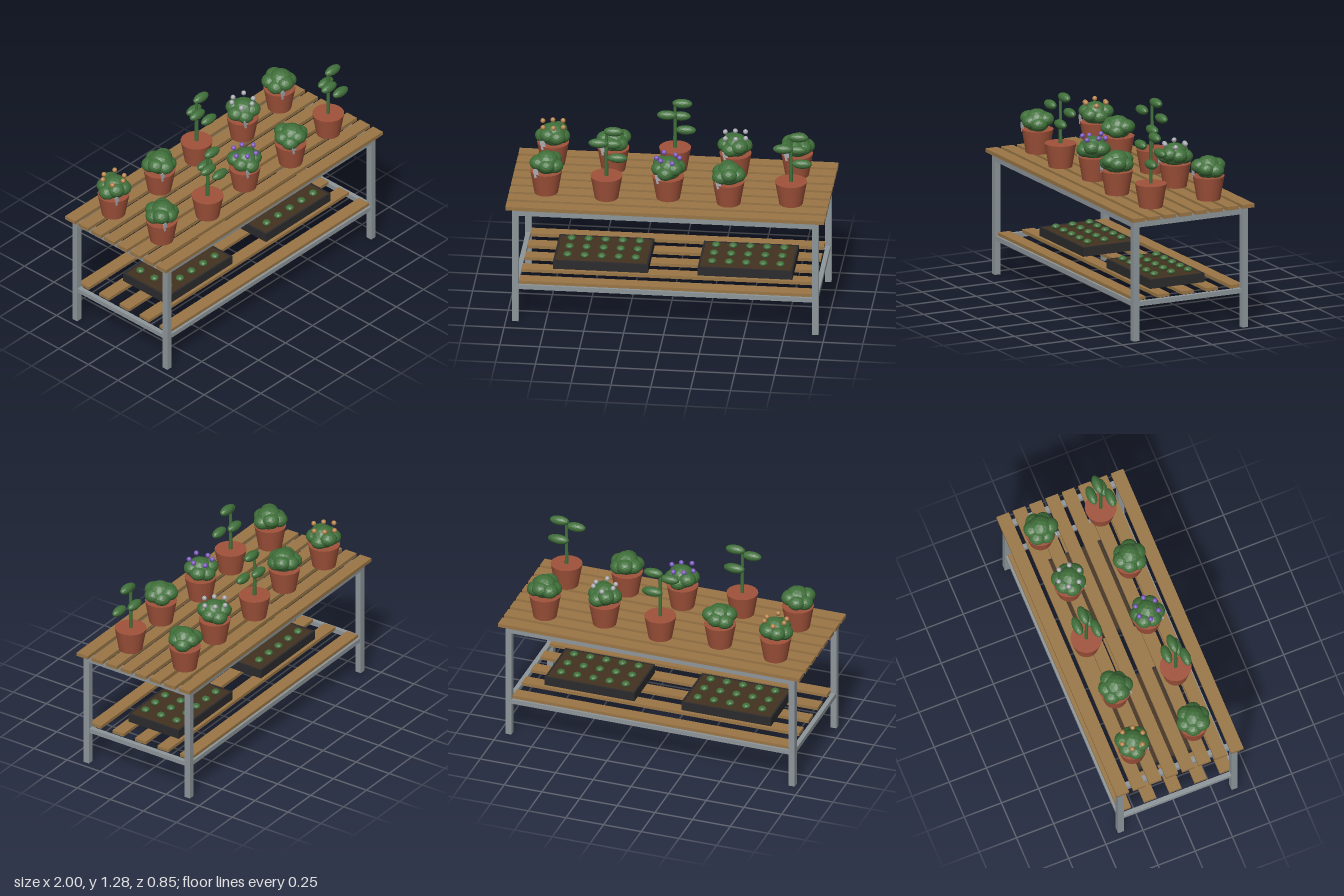
import * as THREE from 'three';

const mat = (name, color, flatShading = false) => {
  const m = new THREE.MeshStandardMaterial({ color, flatShading });
  m.name = name;
  return m;
};

export function createModel() {
  const wood = mat('wood', 0x9a7646);
  const steel = mat('galvanised steel', 0x8e969a);
  const terracotta = mat('terracotta', 0xa0523a);
  const green = mat('leaf green', 0x40703a, true);
  const black = mat('black plastic', 0x2b2b2d);
  const soil = mat('soil', 0x43321f);
  const purple = mat('purple petals', 0x7c58c0);
  const orange = mat('orange petals', 0xb8834a);
  const white = mat('pale grey', 0xa8aab0);

  const root = new THREE.Group();
  root.name = 'pottingBench';

  const add = (parent, name, geo, material, x, y, z) => {
    const m = new THREE.Mesh(geo, material);
    m.name = name;
    m.position.set(x, y, z);
    parent.add(m);
    return m;
  };
  const box = (parent, name, material, w, h, d, x, y, z) =>
    add(parent, name, new THREE.BoxGeometry(w, h, d), material, x, y, z);
  const group = (name, x = 0, y = 0, z = 0) => {
    const g = new THREE.Group();
    g.name = name;
    g.position.set(x, y, z);
    root.add(g);
    return g;
  };

  // Steel frame: four legs, upper and lower rails
  const frame = group('frame');
  for (const s of [-1, 1]) {
    for (const t of [-1, 1]) box(frame, 'leg', steel, 0.04, 0.775, 0.04, s * 0.94, 0.3875, t * 0.382);
    box(frame, 'upperLongRail', steel, 1.84, 0.042, 0.036, 0, 0.751, s * 0.382);
    box(frame, 'upperEndRail', steel, 0.036, 0.042, 0.724, s * 0.94, 0.751, 0);
    box(frame, 'lowerLongRail', steel, 1.84, 0.03, 0.03, 0, 0.236, s * 0.382);
    box(frame, 'lowerEndRail', steel, 0.03, 0.03, 0.724, s * 0.94, 0.236, 0);
  }

  // Slatted top and shelf
  const slats = group('slats');
  for (let i = 0; i < 8; i++) box(slats, 'topSlat', wood, 2, 0.024, 0.083, 0, 0.788, (i - 3.5) * 0.11);
  for (let i = -2; i <= 2; i++) box(slats, 'shelfSlat', wood, 1.84, 0.021, 0.083, 0, 0.2615, i * 0.17);

  // Seed trays with rows of seedlings
  const sprout = new THREE.IcosahedronGeometry(0.027, 1).scale(1, 0.65, 1);
  for (const x of [-0.428, 0.478]) {
    const tray = group('seedTray', x, 0.272, 0);
    box(tray, 'trayBase', black, 0.595, 0.05, 0.38, 0, 0.025, 0);
    for (const s of [-1, 1]) {
      box(tray, 'trayLongRim', black, 0.595, 0.008, 0.012, 0, 0.054, s * 0.184);
      box(tray, 'trayEndRim', black, 0.012, 0.008, 0.356, s * 0.2915, 0.054, 0);
    }
    box(tray, 'traySoil', soil, 0.571, 0.006, 0.356, 0, 0.053, 0);
    for (let i = -2; i <= 2; i++)
      for (let j = -1; j <= 1; j++)
        add(tray, 'seedling', sprout, green, i * 0.107, 0.071, j * 0.118);
  }

  // Plant parts, each pot standing at y = 0 of its own group
  const potGeo = new THREE.CylinderGeometry(0.1, 0.074, 0.15, 20);
  const blob = new THREE.IcosahedronGeometry(1, 2);
  const petal = new THREE.SphereGeometry(0.016, 10, 8);
  const stemGeo = new THREE.CylinderGeometry(0.01, 0.012, 0.31, 8);

  const leafBall = (g, name, x, y, z, rx, ry, rz) =>
    add(g, name, blob, green, x, y, z).scale.set(rx, ry, rz);

  function bush(g, turn, petals) {
    leafBall(g, 'foliageCore', 0.005, 0.205, 0.005, 0.08, 0.076, 0.08);
    for (let i = 0; i < 6; i++) {
      const a = turn + (i * Math.PI) / 3;
      const r = 0.052 + 0.006 * (i % 2);
      leafBall(g, 'foliageLobe', Math.cos(a) * r, 0.192 + 0.012 * (i % 3), Math.sin(a) * r, 0.056, 0.046, 0.056);
    }
    const tag = box(g, 'plantLabel', white, 0.03, 0.06, 0.005, -0.055, 0.16, 0.08);
    tag.rotation.z = 0.2;
    if (!petals) return;
    for (let i = 0; i < 6; i++) {
      const a = turn + 0.4 + (i * Math.PI) / 3;
      add(g, 'flower', petal, petals, Math.cos(a) * 0.073, 0.265 + 0.012 * (i % 2), Math.sin(a) * 0.073);
    }
  }

  // Tall plant: bare stem with flattened leaves alternating around it
  function tallPlant(g) {
    add(g, 'stem', stemGeo, green, 0, 0.295, 0);
    const leaves = [[0.072, 0.29, 0.037], [0.03, 0.343, -0.05], [-0.045, 0.393, 0.048], [0.045, 0.452, -0.004]];
    for (const [x, y, z] of leaves) leafBall(g, 'leaf', x, y, z, 0.064, 0.03, 0.031);
  }

  // Two staggered rows of pots: x, z, kind, flower colour
  const plants = [
    [-0.77, -0.228, 'bush', orange], [-0.388, -0.19, 'bush'], [-0.005, -0.228, 'tall'],
    [0.378, -0.19, 'bush', white], [0.76, -0.228, 'bush'],
    [-0.77, 0.18, 'bush'], [-0.388, 0.217, 'tall'], [-0.005, 0.18, 'bush', purple],
    [0.378, 0.217, 'bush'], [0.765, 0.18, 'tall'],
  ];
  plants.forEach(([x, z, kind, petals], i) => {
    const g = group(kind === 'tall' ? 'tallPottedPlant' : 'bushyPottedPlant', x, 0.8, z);
    add(g, 'pot', potGeo, terracotta, 0, 0.075, 0);
    if (kind === 'tall') tallPlant(g);
    else bush(g, i * 0.7, petals);
  });

  return root;
}
